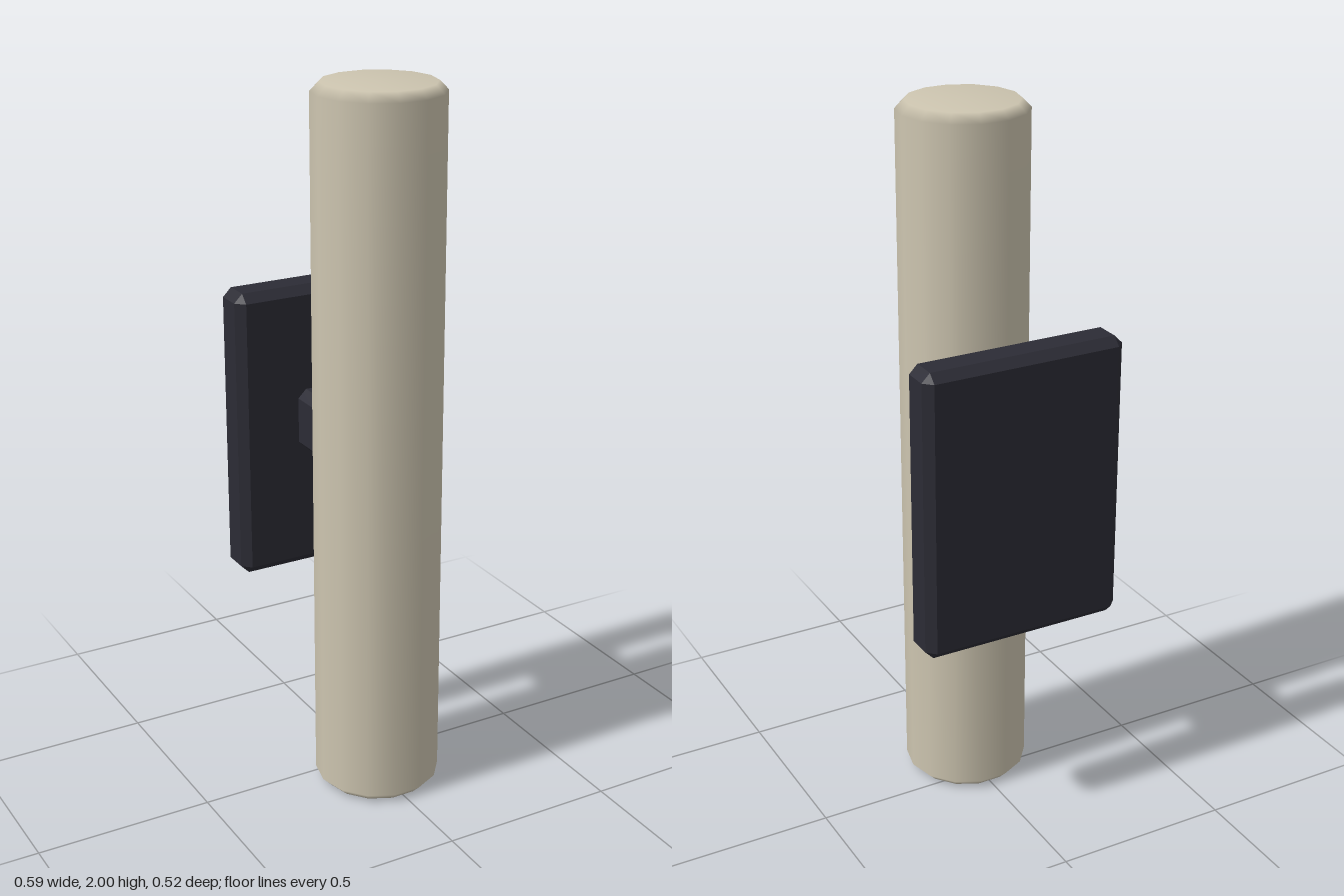
import * as THREE from 'three';
import { ConvexGeometry } from 'three/addons/geometries/ConvexGeometry.js';

// Box with every edge and corner chamfered by c
function chamferedBox(w, h, d, c) {
  const points = [];
  for (const sx of [-1, 1]) for (const sy of [-1, 1]) for (const sz of [-1, 1]) {
    const x = w / 2, y = h / 2, z = d / 2;
    points.push(
      new THREE.Vector3(sx * x, sy * (y - c), sz * (z - c)),
      new THREE.Vector3(sx * (x - c), sy * y, sz * (z - c)),
      new THREE.Vector3(sx * (x - c), sy * (y - c), sz * z));
  }
  return new ConvexGeometry(points);
}

export function createModel() {
  const group = new THREE.Group();
  const cream = new THREE.MeshStandardMaterial({ color: 0xcdc5b0 });
  cream.name = 'cream';
  const charcoal = new THREE.MeshStandardMaterial({ color: 0x2c2c35 });
  charcoal.name = 'charcoal';

  const add = (name, geometry, material, x, y, z) => {
    const mesh = new THREE.Mesh(geometry, material);
    mesh.name = name;
    mesh.position.set(x, y, z);
    group.add(mesh);
  };

  // Tall tube with softened rims, smooth shaded, 14 sides
  const r = 0.176, c = 0.024;
  const profile = [[0, 0], [r - c, 0], [r, c], [r, 2 - c], [r - c, 2], [0, 2]]
    .map(([x, y]) => new THREE.Vector2(x, y));
  add('lampTube', new THREE.LatheGeometry(profile, 14, Math.PI / 2), cream, 0, 0, 0.088);

  // Wall plate and the arm that holds the tube
  add('wallPlate', chamferedBox(0.588, 0.822, 0.117, c), charcoal, 0, 1.004, -0.2055);
  add('mountingArm', chamferedBox(0.235, 0.176, 0.176, c), charcoal, 0, 1.033, -0.123);

  return group;
}
